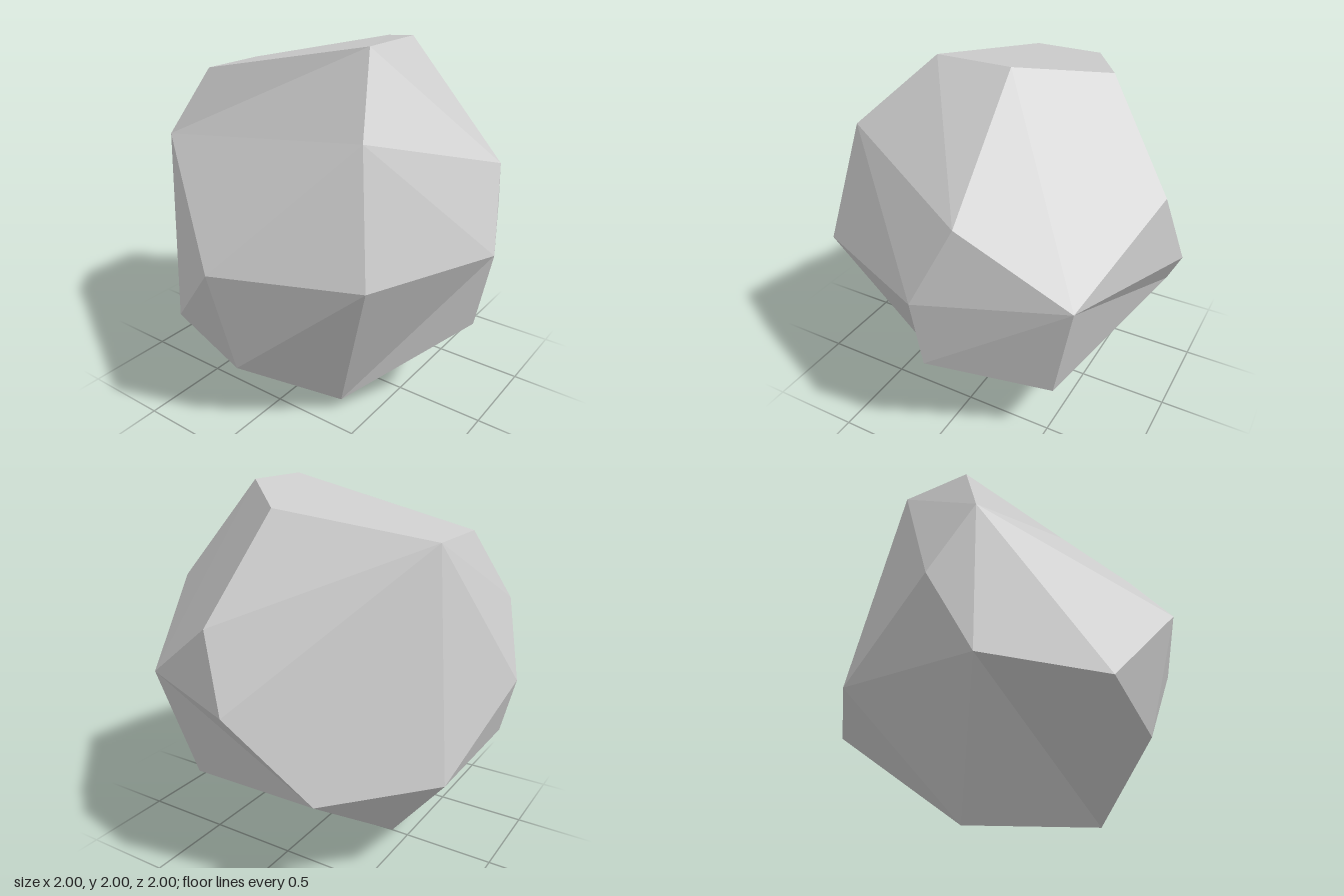
import * as THREE from 'three';

// Corners of the faceted stone, from the crown down to the base
const corners = {
  // flat sloping crown
  A: [0.37, 2, 0.2], B: [0.37, 2, -0.2], E: [0, 1.92, -0.56], D: [-0.71, 1.77, -0.2], C: [-0.71, 1.77, 0.2],
  // shoulder
  F: [0.58, 1.65, 0.56], G: [0.905, 1.42, -0.2], L: [0.14, 1.4, -0.92], N: [-0.87, 1.4, 0.38],
  // girdle
  K: [0, 1.01, 1], I: [0.705, 1.01, 0.705], H: [1, 1.01, 0], J: [0.705, 1.01, -0.71], M: [0, 1.01, -1], O: [-1, 1.01, 0.2],
  // lower sides
  P: [-0.87, 0.62, 0.38], Q: [-0.87, 0.62, -0.38], R: [-0.4, 0.58, 0.83], T: [-0.4, 0.58, -0.83],
  W: [0.92, 0.59, 0], S: [0, 0.4, 0.83], X: [0.575, 0.37, -0.56],
  // base
  U: [0.345, 0.08, 0.38], V: [-0.4, 0, 0],
};

// Facets, each a counter-clockwise loop of corners fanned from its first one
const facets = {
  upper: ['ABEDC', 'NKFAC', 'AFGB', 'FIHG', 'KIF', 'GHJ', 'JLEBG', 'JML', 'DELMTQ', 'DQO', 'DONC'],
  lower: ['OQP', 'NOP', 'NPRK', 'KRS', 'KSI', 'ISUH', 'HUW', 'HWJ', 'WXJ', 'JXTM'],
  base: ['PUSR', 'PVU', 'WUX', 'UVX', 'XVT', 'TVQ', 'QVP'],
};

export function createModel() {
  const group = new THREE.Group();
  group.name = 'rock';

  // Separate corners per triangle keep every facet flat
  const positions = [];
  for (const loop of Object.values(facets).flat()) {
    for (let i = 1; i < loop.length - 1; i++) {
      positions.push(...corners[loop[0]], ...corners[loop[i]], ...corners[loop[i + 1]]);
    }
  }
  const geometry = new THREE.BufferGeometry();
  geometry.setAttribute('position', new THREE.Float32BufferAttribute(positions, 3));
  geometry.computeVertexNormals();

  const boulder = new THREE.Mesh(
    geometry,
    new THREE.MeshStandardMaterial({ color: 0xcccccc, flatShading: true })
  );
  boulder.name = 'boulder';
  group.add(boulder);
  return group;
}
